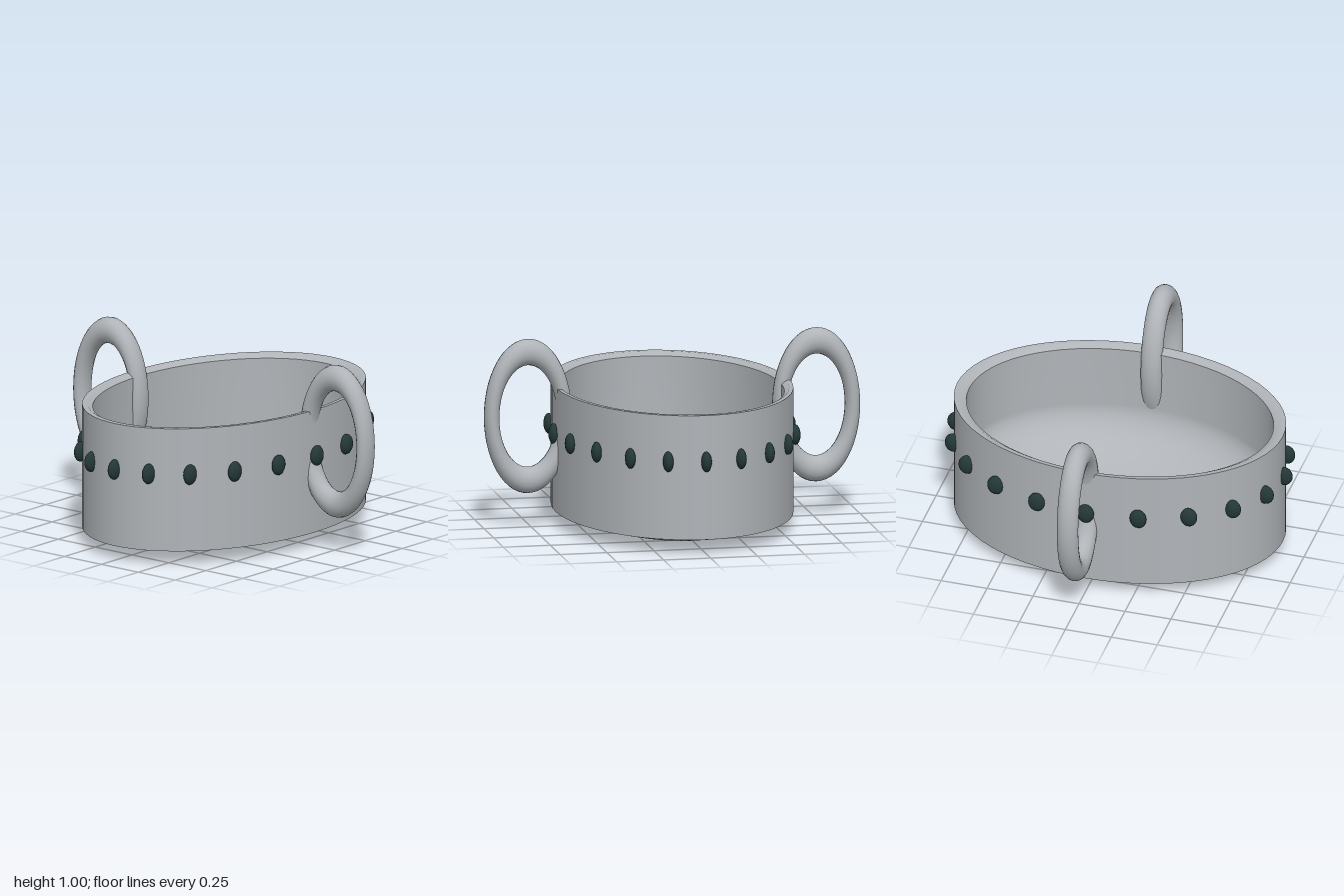
import * as THREE from 'three';

const RX = 0.62, RZ = 0.885, HEIGHT = 0.735;

export function createModel() {
  const model = new THREE.Group();
  model.name = 'ovalPot';

  const metal = new THREE.MeshStandardMaterial({ color: 0xb0b4b8 });
  metal.name = 'greyMetal';
  const darkStone = new THREE.MeshStandardMaterial({ color: 0x243838 });
  darkStone.name = 'darkStone';

  function add(name, geometry, material, parent = model) {
    const mesh = new THREE.Mesh(geometry, material);
    mesh.name = name;
    parent.add(mesh);
    return mesh;
  }

  // Oval body: unit-radius turned pieces stretched to an ellipse
  const body = new THREE.Group();
  body.name = 'body';
  body.scale.set(RX, 1, RZ);
  model.add(body);
  const turned = (name, points) => add(name, new THREE.LatheGeometry(
    points.map(([r, y]) => new THREE.Vector2(r, y)), 64), metal, body);

  turned('base', [[0, 0], [0.6, 0]]);
  turned('baseSlope', [[0.6, 0], [1, 0.075]]);
  turned('outerWall', [[1, 0.075], [1, HEIGHT]]);
  turned('rim', [[1, HEIGHT], [0.965, HEIGHT], [0.925, HEIGHT - 0.02]]);

  // Inside: upright wall that rounds into a bowl floor
  const inner = [[0.925, HEIGHT - 0.02]];
  for (let i = 0; i <= 14; i++) {
    const a = (i / 14) * Math.PI / 2;
    inner.push([Math.max(0, 0.925 * Math.cos(a)), 0.37 - 0.31 * Math.sin(a)]);
  }
  turned('innerBowl', inner);

  // Two upright oval ring handles
  const ring = new THREE.TorusGeometry(1, 0.206, 16, 56);
  ring.scale(0.193, 0.34, 0.058 / 0.206);
  for (const side of [1, -1]) {
    const handle = add(side > 0 ? 'leftHandle' : 'rightHandle', ring, metal);
    handle.position.set(side * 0.767, 0.59, 0);
  }

  // Band of twenty oval studs, all aligned with the axes
  const stud = new THREE.SphereGeometry(1, 20, 14);
  stud.scale(0.027, 0.054, 0.045);
  const studs = new THREE.Group();
  studs.name = 'studBand';
  model.add(studs);
  for (let i = 0; i < 20; i++) {
    const a = (i / 20) * Math.PI * 2;
    add('stud', stud, darkStone, studs)
      .position.set(0.63 * Math.sin(a), 0.49, 0.893 * Math.cos(a));
  }

  return model;
}
